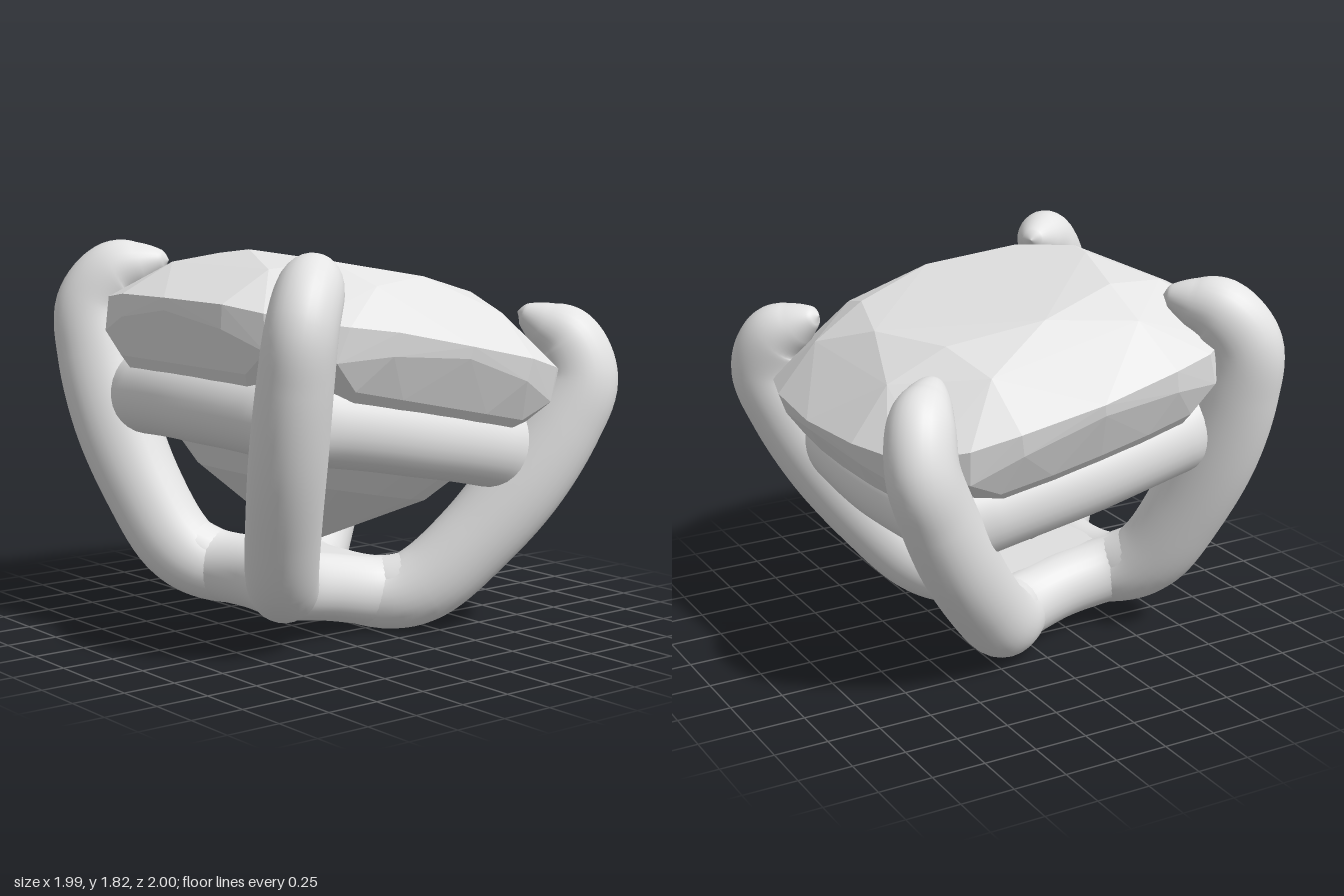
import * as THREE from 'three';
import { ConvexGeometry } from 'three/addons/geometries/ConvexGeometry.js';

const grey = new THREE.MeshStandardMaterial({ color: 0xe4e4e4 });
grey.name = 'grey';

// Sweeps an elliptical section along a planar curve.
// Each station is [x, y, z, radius in the plane, radius across the plane].
function sweep(stations, planeNormal, steps = 48, sides = 28) {
  const path = new THREE.CatmullRomCurve3(stations.map((s) => new THREE.Vector3(s[0], s[1], s[2])));
  const size = new THREE.CatmullRomCurve3(stations.map((s) => new THREE.Vector3(s[3], s[4], 0)), false, 'catmullrom');
  const positions = [];
  const index = [];
  for (let i = 0; i <= steps; i++) {
    const c = path.getPoint(i / steps);
    const r = size.getPoint(i / steps);
    const m = new THREE.Vector3().crossVectors(planeNormal, path.getTangent(i / steps)).normalize();
    for (let j = 0; j < sides; j++) {
      const a = (j / sides) * Math.PI * 2;
      const p = c.clone()
        .addScaledVector(m, Math.cos(a) * Math.max(r.x, 0))
        .addScaledVector(planeNormal, Math.sin(a) * Math.max(r.y, 0));
      positions.push(p.x, p.y, p.z);
      if (i < steps) {
        const k = (j + 1) % sides;
        const row = i * sides;
        const next = row + sides;
        index.push(row + j, row + k, next + j, row + k, next + k, next + j);
      }
    }
  }
  const geometry = new THREE.BufferGeometry();
  geometry.setAttribute('position', new THREE.Float32BufferAttribute(positions, 3));
  geometry.setIndex(index);
  geometry.computeVertexNormals();
  return geometry;
}

// Cushion-cut stone as a convex hull of mirrored ring points
function stoneGeometry() {
  const points = new Map();
  // [along, out, height] for one eighth; mirrored over both axes and the diagonal
  const eighth = [
    [0, 0.57, 1.66], [0.43, 0.43, 1.65],                        // table
    [0.38, 0.72, 1.56],                                         // crown
    [0, 0.985, 1.37], [0.4, 0.95, 1.37], [0.62, 0.885, 1.355], [0.77, 0.77, 1.345], // girdle top
    [0, 0.975, 1.315], [0.4, 0.935, 1.265], [0.64, 0.86, 1.195], [0.76, 0.76, 1.24], // girdle bottom
    [0, 0.87, 1.09], [0.25, 0.864, 1.09], [0.5, 0.84, 1.09], [0.69, 0.69, 1.09],     // pavilion shoulder
    [0, 0.5, 0.645], [0.22, 0.485, 0.645], [0.39, 0.39, 0.645], // lower pavilion
    [0, 0, 0.335],                                              // culet
  ];
  for (const [a, b, h] of eighth) {
    for (const [x, z] of [[a, b], [b, a]]) {
      for (const sx of [1, -1]) {
        for (const sz of [1, -1]) {
          const p = new THREE.Vector3(x * sx + 0, h, z * sz + 0);
          points.set(p.toArray().join(), p);
        }
      }
    }
  }
  return new ConvexGeometry([...points.values()]);
}

export function createModel() {
  const model = new THREE.Group();
  model.name = 'gemSetting';
  const setting = new THREE.Group();
  setting.name = 'tiltedSetting';
  setting.position.set(-0.253, 0.052, 0);
  setting.rotation.z = -0.193;
  model.add(setting);

  const add = (geometry, name, turn = 0) => {
    const mesh = new THREE.Mesh(geometry, grey);
    mesh.name = name;
    mesh.rotation.y = turn;
    setting.add(mesh);
    return mesh;
  };

  // Stone sits very slightly steeper than its setting
  const stone = add(stoneGeometry(), 'stone');
  stone.rotation.z = -0.012;
  stone.position.x = -0.015;

  // Claw prong: distance along each axis, height, radial and sideways radius
  const clawProfile = [
    [0.08, 0.175, 0.15, 0.15], [0.32, 0.177, 0.168, 0.16], [0.43, 0.26, 0.185, 0.165],
    [0.57, 0.5, 0.192, 0.168], [0.695, 0.79, 0.203, 0.17], [0.79, 1.09, 0.195, 0.164],
    [0.83, 1.32, 0.182, 0.157], [0.77, 1.485, 0.162, 0.147], [0.685, 1.545, 0.112, 0.11],
    [0.615, 1.58, 0.05, 0.055], [0.595, 1.585, 0, 0],
  ];
  const claw = sweep(
    clawProfile.map(([d, h, a, b]) => [d * Math.SQRT2, h, 0, a, b]),
    new THREE.Vector3(0, 0, 1), 80);

  // Gallery rail under the stone, bowed outward and buried in the claws
  const up = new THREE.Vector3(0, 1, 0);
  const gallery = sweep([
    [-0.68, 0.935, 0.67, 0.13, 0.19], [-0.5, 0.94, 0.665, 0.165, 0.19], [-0.25, 0.945, 0.69, 0.165, 0.187],
    [0, 0.945, 0.7, 0.165, 0.187],
    [0.25, 0.945, 0.69, 0.165, 0.187], [0.5, 0.94, 0.665, 0.165, 0.19], [0.68, 0.935, 0.67, 0.13, 0.19],
  ], up);

  // Base rail joining the claw feet, drawn in at the middle
  const base = sweep([
    [-0.4, 0.23, 0.38, 0.14, 0.18], [-0.26, 0.183, 0.28, 0.15, 0.165], [0, 0.178, 0.24, 0.15, 0.16],
    [0.26, 0.183, 0.28, 0.15, 0.165], [0.4, 0.23, 0.38, 0.14, 0.18],
  ], up);

  for (let i = 0; i < 4; i++) {
    const turn = (i * Math.PI) / 2;
    add(claw, 'claw', turn + Math.PI / 4);
    add(gallery, 'galleryRail', turn);
    add(base, 'baseRail', turn);
  }

  // Solid floor between the base rails
  const floor = new THREE.BoxGeometry(0.48, 0.315, 0.48);
  floor.translate(0, 0.178, 0);
  add(floor, 'baseFloor');

  return model;
}
